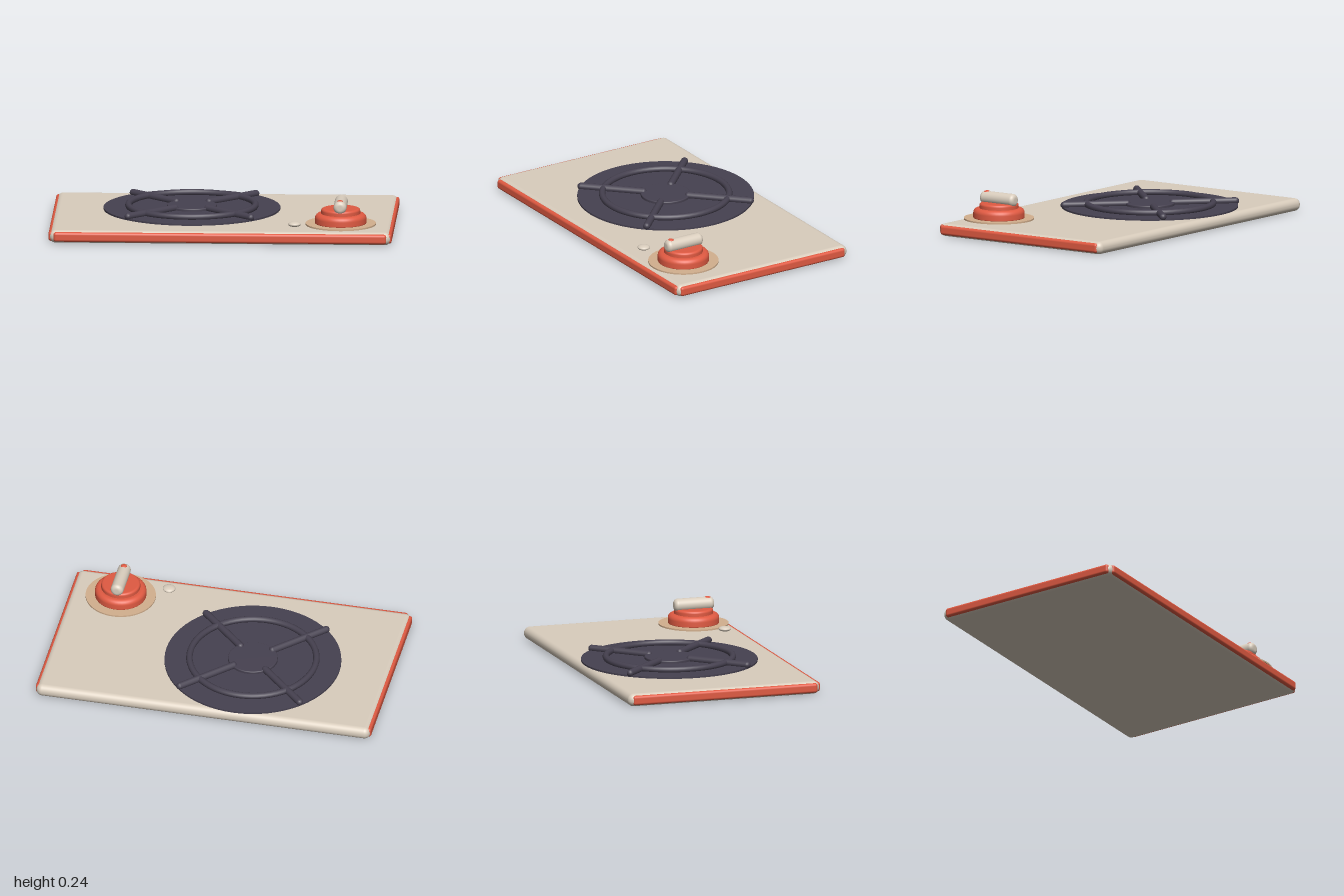
import * as THREE from 'three';
import { RoundedBoxGeometry } from 'three/addons/geometries/RoundedBoxGeometry.js';

const paint = (name, color) => {
  const m = new THREE.MeshStandardMaterial({ color });
  m.name = name;
  return m;
};

export function createModel() {
  const cream = paint('cream', 0xd9cdbd);
  const red = paint('red', 0xe05a42);
  const tan = paint('tan', 0xd3b08e);
  const iron = paint('iron', 0x464150);

  const model = new THREE.Group();
  model.name = 'cooktop';
  const add = (parent, name, geometry, material, x = 0, y = 0, z = 0) => {
    const mesh = new THREE.Mesh(geometry, material);
    mesh.name = name;
    mesh.position.set(x, y, z);
    parent.add(mesh);
    return mesh;
  };
  const group = (name, x, z) => {
    const g = new THREE.Group();
    g.name = name;
    g.position.set(x, 0, z);
    model.add(g);
    return g;
  };

  // Solid of revolution with rounded rims: from y0 to y1, rim radius e
  const puck = (r, y0, y1, e, eBottom = e) => {
    const pts = [new THREE.Vector2(0, y0)];
    for (let i = 0; i <= 6; i++) {
      const a = -Math.PI / 2 + (i / 6) * Math.PI / 2;
      pts.push(new THREE.Vector2(r - eBottom + eBottom * Math.cos(a), y0 + eBottom + eBottom * Math.sin(a)));
    }
    for (let i = 0; i <= 6; i++) {
      const a = (i / 6) * Math.PI / 2;
      pts.push(new THREE.Vector2(r - e + e * Math.cos(a), y1 - e + e * Math.sin(a)));
    }
    pts.push(new THREE.Vector2(0, y1));
    return new THREE.LatheGeometry(pts, 48);
  };

  // Body slab with red trim on the front and both sides
  add(model, 'body', new RoundedBoxGeometry(1.99, 0.075, 1.172, 5, 0.036), cream, 0, 0.0375, -0.004);
  add(model, 'frontTrim', new RoundedBoxGeometry(1.94, 0.056, 0.04, 3, 0.015), red, 0, 0.038, 0.57);
  for (const s of [-1, 1]) {
    add(model, s > 0 ? 'leftTrim' : 'rightTrim',
      new RoundedBoxGeometry(0.04, 0.056, 1.13, 3, 0.015), red, s * 0.98, 0.038, 0);
  }

  // Burner: thin pan, centre cap, ring and four diagonal bars
  const burner = group('burner', -0.19, -0.08);
  add(burner, 'burnerPan', new THREE.CylinderGeometry(0.515, 0.515, 0.01, 64), iron, 0, 0.087, 0);
  add(burner, 'burnerCap', puck(0.145, 0.085, 0.108, 0.006), iron);
  const ring = add(burner, 'grateRing', new THREE.TorusGeometry(0.37, 0.019, 10, 64), iron, 0, 0.104, 0);
  ring.rotation.x = Math.PI / 2;
  for (let i = 0; i < 4; i++) {
    const bar = new THREE.Group();
    bar.name = 'grateBar';
    bar.rotation.y = Math.PI / 4 + i * Math.PI / 2;
    burner.add(bar);
    const rod = add(bar, 'barRod', new THREE.CapsuleGeometry(0.021, 0.37, 5, 12), iron, 0.32, 0.103, 0);
    rod.rotation.z = Math.PI / 2;
  }

  // Control knob: tan plate, two red tiers, cream grip and red pointer dot
  const knob = group('knob', 0.695, 0.36);
  add(knob, 'knobPlate', new THREE.CylinderGeometry(0.205, 0.205, 0.009, 64), tan, 0, 0.088, 0);
  add(knob, 'knobBase', puck(0.15, 0.09, 0.15, 0.028, 0.006), red);
  add(knob, 'knobTier', puck(0.114, 0.13, 0.18, 0.014), red);
  const grip = add(knob, 'knobGrip', puck(0.038, -0.121, 0.121, 0.024), cream, 0, 0.202, 0);
  grip.rotation.x = Math.PI / 2;
  const dot = add(knob, 'knobPointer', new THREE.SphereGeometry(0.018, 20, 12), red, 0, 0.236, 0.086);
  dot.scale.y = 0.45;

  // Indicator button
  const lamp = add(model, 'indicator', new THREE.SphereGeometry(0.037, 28, 16), cream, 0.43, 0.103, 0.465);
  lamp.scale.y = 0.4;

  return model;
}
